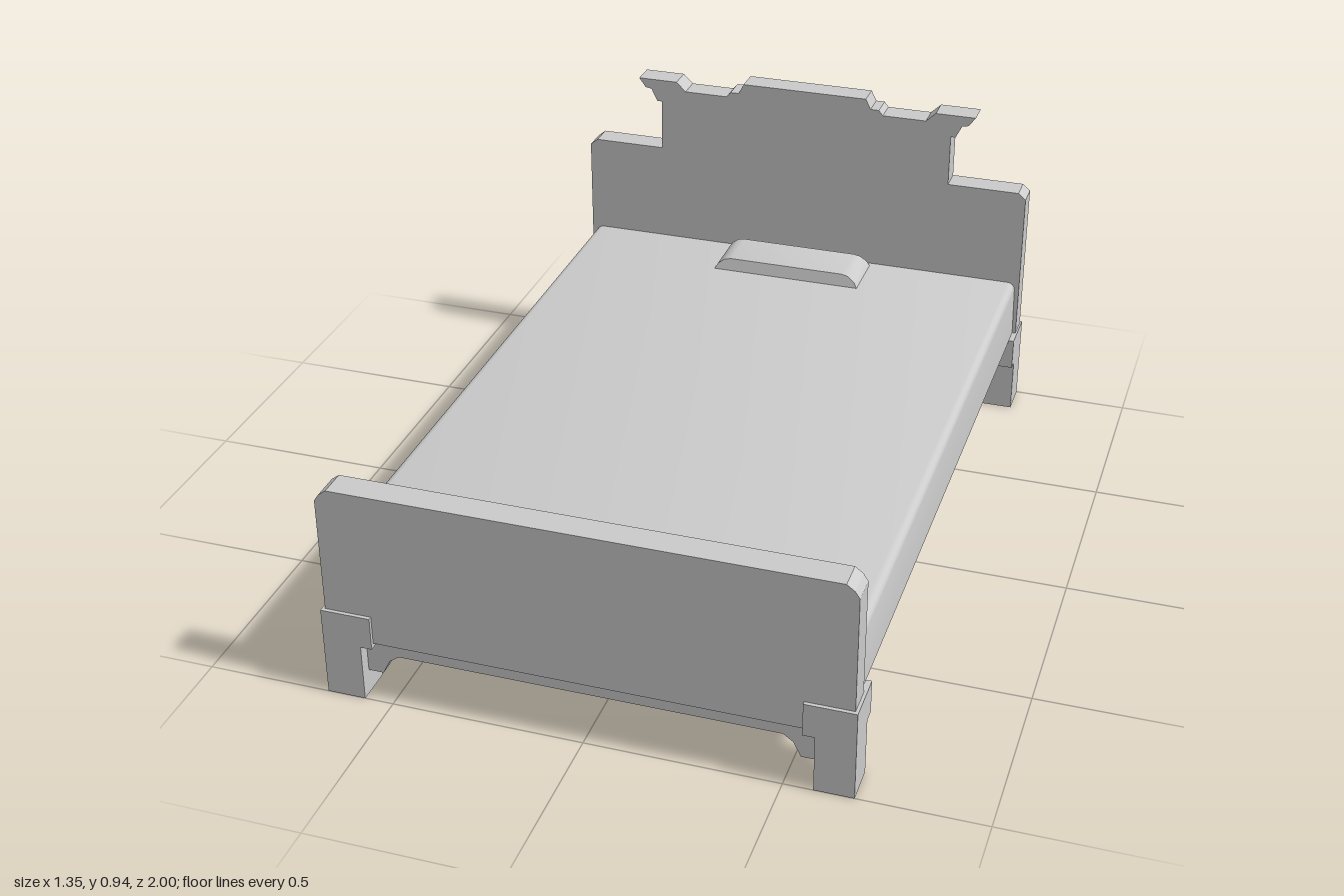
import * as THREE from 'three';
import { toCreasedNormals } from 'three/addons/utils/BufferGeometryUtils.js';

const material = new THREE.MeshStandardMaterial({ color: 0xcccccc });
const openMaterial = new THREE.MeshStandardMaterial({ color: 0xcccccc, side: THREE.DoubleSide });

function addMesh(parent, name, geometry, mat = material) {
  const mesh = new THREE.Mesh(geometry, mat);
  mesh.name = name;
  parent.add(mesh);
  return mesh;
}

// Mirrors a right-half outline across x = 0 and extrudes it from z0 to z1.
function symmetricPanel(half, z0, z1) {
  const mirrored = half.filter(([x]) => x > 0).map(([x, y]) => [-x, y]).reverse();
  const shape = new THREE.Shape([...half, ...mirrored].map(([x, y]) => new THREE.Vector2(x, y)));
  const geometry = new THREE.ExtrudeGeometry(shape, { depth: z1 - z0, bevelEnabled: false });
  return geometry.translate(0, 0, z0);
}

// Rounded outer corner points, running from the top edge down to the side.
function corner(x, y, r, steps = 4) {
  return Array.from({ length: steps + 1 }, (_, i) => {
    const a = (i / steps) * Math.PI / 2;
    return [x - r + r * Math.sin(a), y - r + r * Math.cos(a)];
  });
}

export function createModel() {
  const bed = new THREE.Group();
  bed.name = 'bed';

  // Headboard with a stepped crest and flared scroll ends
  addMesh(bed, 'headboard', symmetricPanel([
    [0.185, 0.935], [0.2, 0.905], [0.225, 0.905], [0.237, 0.89], [0.365, 0.89],
    [0.393, 0.917], [0.51, 0.917], [0.49, 0.89], [0.472, 0.887], [0.454, 0.85],
    [0.44, 0.85], [0.44, 0.7], [0.648, 0.7], [0.67, 0.682], [0.67, 0.167],
  ], -0.99, -0.92));

  // Footboard with clipped top corners
  addMesh(bed, 'footboard', symmetricPanel([
    [0.635, 0.59], [0.655, 0.575], [0.667, 0.557], [0.667, 0.167],
  ], 0.915, 0.99));

  // Mattress with softened top edges
  addMesh(bed, 'mattress', toCreasedNormals(symmetricPanel([
    ...corner(0.657, 0.41, 0.022), [0.66, 0.243],
  ], -0.93, 0.93), 0.7));

  // Pillow: low hump whose front and back lean inward toward the top
  const pillow = symmetricPanel([
    [0.17, 0.037], [0.19, 0.033], [0.21, 0.018], [0.22, 0],
  ], -0.08, 0.08);
  const p = pillow.attributes.position;
  for (let i = 0; i < p.count; i++) p.setZ(i, p.getZ(i) * (1 - 3.4 * p.getY(i)));
  addMesh(bed, 'pillow', toCreasedNormals(pillow, 0.5)).position.set(0, 0.408, -0.825);

  // Thin shaped aprons under both end boards
  for (const [name, z] of [['frontApron', 0.95], ['backApron', -0.95]]) {
    addMesh(bed, name, symmetricPanel([
      [0.58, 0.17], [0.58, 0.065], [0.535, 0.065], [0.515, 0.104], [0.49, 0.122],
    ].reverse(), z - 0.018, z + 0.018));
  }

  // Legs: hollow square post with a wider collar reaching inward
  for (const sx of [1, -1]) {
    for (const sz of [1, -1]) {
      const leg = new THREE.Group();
      leg.name = (sz > 0 ? 'front' : 'back') + (sx > 0 ? 'Left' : 'Right') + 'Leg';
      const post = new THREE.CylinderGeometry(0.05 * Math.SQRT2, 0.05 * Math.SQRT2, 0.155, 4, 1, true);
      post.rotateY(Math.PI / 4);
      addMesh(leg, 'post', toCreasedNormals(post, 0.5), openMaterial)
        .position.set(sx * 0.625, 0.0775, sz * 0.95);
      addMesh(leg, 'collar', new THREE.BoxGeometry(0.13, 0.09, 0.133))
        .position.set(sx * 0.61, 0.2, sz * 0.9335);
      bed.add(leg);
    }
  }
  return bed;
}
